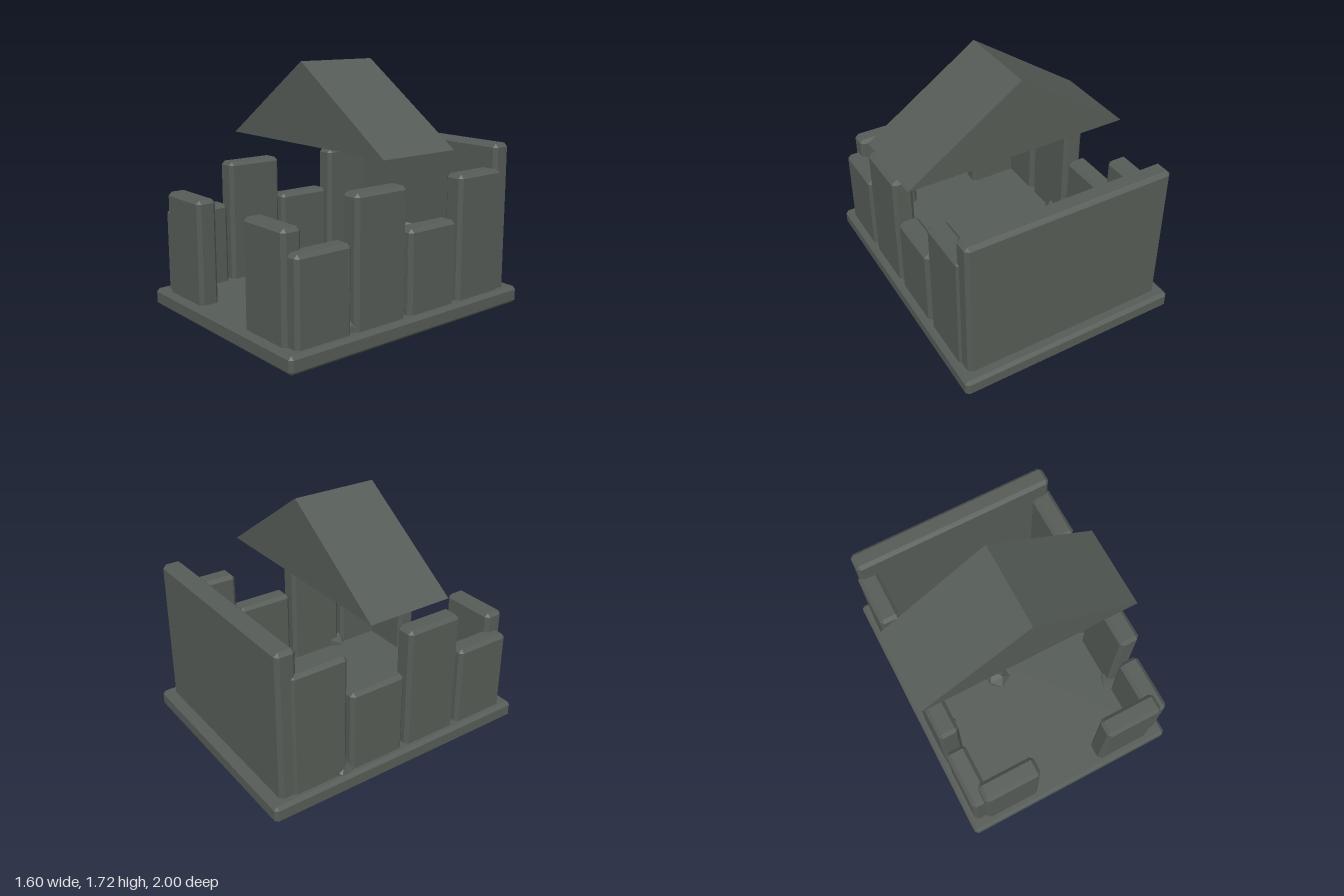
import * as THREE from 'three';
import { ConvexGeometry } from 'three/addons/geometries/ConvexGeometry.js';

const material = (name, color) => {
  const m = new THREE.MeshStandardMaterial({ color });
  m.name = name;
  return m;
};

// Box between two corners with every edge cut at 45 degrees
function chamferedBox(x0, x1, y0, y1, z0, z1, cut) {
  const half = [(x1 - x0) / 2, (y1 - y0) / 2, (z1 - z0) / 2];
  const points = [];
  for (const sx of [-1, 1]) for (const sy of [-1, 1]) for (const sz of [-1, 1]) {
    for (let full = 0; full < 3; full++) {
      const [x, y, z] = half.map((h, axis) => (axis === full ? h : h - cut));
      points.push(new THREE.Vector3(sx * x, sy * y, sz * z));
    }
  }
  return new ConvexGeometry(points).translate((x0 + x1) / 2, (y0 + y1) / 2, (z0 + z1) / 2);
}

export function createModel() {
  const model = new THREE.Group();
  model.name = 'ruinedShrine';
  const stone = material('darkStone', 0x555b56);
  const altarStone = material('paleStone', 0x767660);

  const add = (name, geometry, mat = stone) => {
    const mesh = new THREE.Mesh(geometry, mat);
    mesh.name = name;
    model.add(mesh);
    return mesh;
  };

  // Floor slab and back wall
  add('floorSlab', chamferedBox(-0.8, 0.8, 0, 0.12, -1, 1, 0.022));
  add('backWall', chamferedBox(-0.74, 0.74, 0.08, 1.15, -0.925, -0.785, 0.025));

  // Broken wall slabs of alternating height, mirrored on both sides
  const sideSlabs = [[0.50, 0.92, 0.69], [0.05, 0.47, 0.98], [-0.40, 0.02, 0.69], [-0.84, -0.43, 0.98]];
  for (const [name, s] of [['left', 1], ['right', -1]]) {
    const slab = (part, a, b, top, z0, z1) =>
      add(name + part, chamferedBox(Math.min(s * a, s * b), Math.max(s * a, s * b), 0.08, top, z0, z1, 0.025));
    sideSlabs.forEach(([z0, z1, top], i) => slab('SideSlab' + (i + 1), 0.61, 0.755, top, z0, z1));
    slab('FrontSlab', 0.255, 0.67, 0.83, 0.81, 0.95);
  }

  // Floating gable roof
  const gable = new THREE.Shape([
    new THREE.Vector2(-0.8, 1.17), new THREE.Vector2(0.8, 1.17), new THREE.Vector2(0, 1.715),
  ]);
  add('roof', new THREE.ExtrudeGeometry(gable, { depth: 0.605, bevelEnabled: false }).translate(0, 0, -0.3025));

  // Altar with a candle
  add('altar', chamferedBox(-0.2, 0.2, 0.1, 0.47, -0.73, -0.53, 0.012), altarStone);
  add('candle', new THREE.CylinderGeometry(0.02, 0.02, 0.14, 8), altarStone).position.set(0, 0.54, -0.63);
  add('flame', new THREE.ConeGeometry(0.014, 0.06, 6), altarStone).position.set(0, 0.64, -0.63);

  // Faceted rubble: x, z, turn
  const rubbleStone = stone.clone();
  rubbleStone.name = 'rubbleStone';
  rubbleStone.flatShading = true;
  const rubble = [
    [0.125, -0.41, 0.5], [-0.17, -0.67, 1.3], [-0.68, -0.45, 0.2], [0.66, 0.45, 0.9],
    [-0.115, 0.02, 2.1], [0.19, -0.15, 1.7], [-0.65, 0.18, 2.6],
  ];
  rubble.forEach(([x, z, turn], i) => {
    const rock = add('rubble' + (i + 1), new THREE.IcosahedronGeometry(0.1, 0), rubbleStone);
    rock.position.set(x, 0.125, z);
    rock.scale.y = 0.8;
    rock.rotation.y = turn;
  });

  return model;
}
